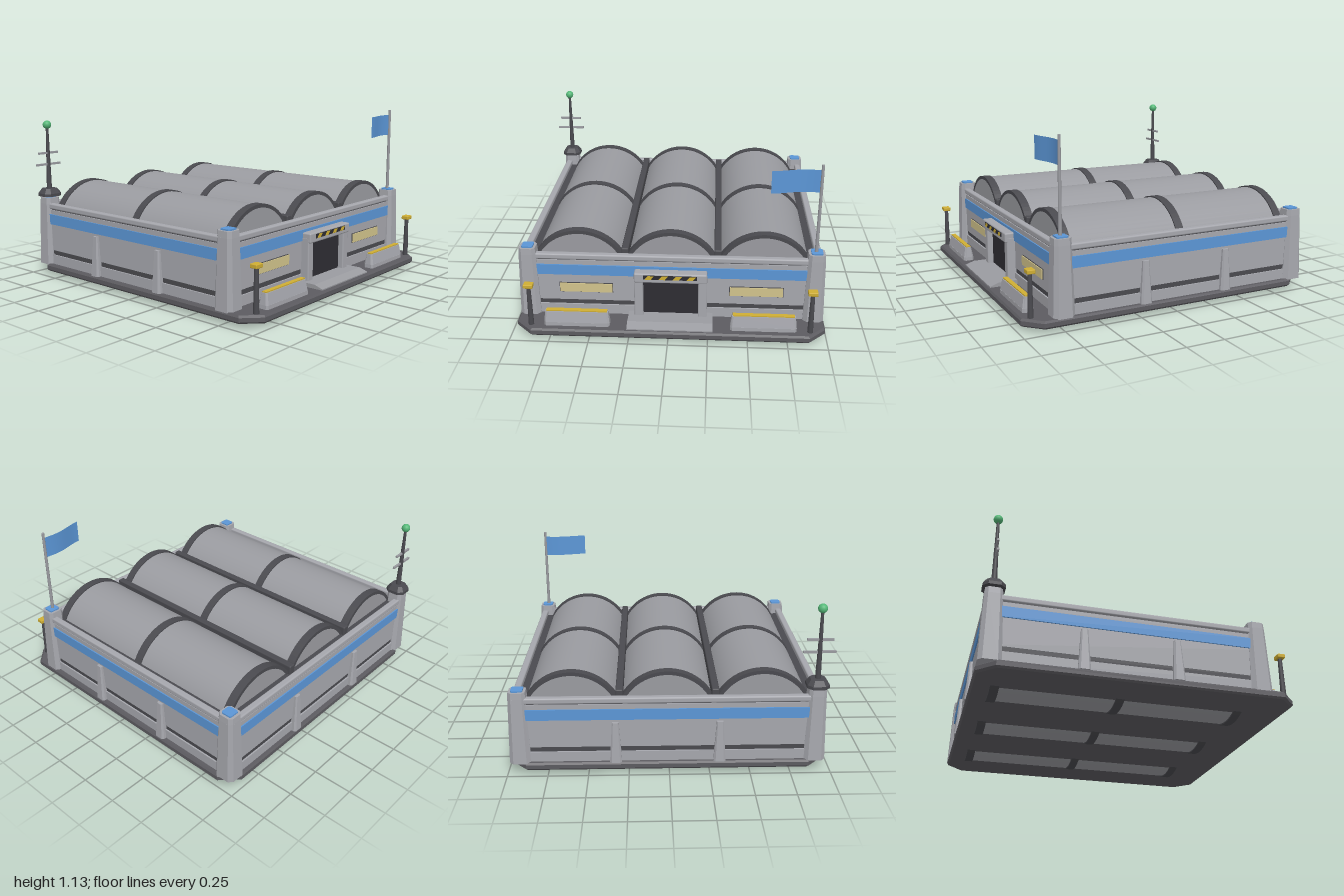
import * as THREE from 'three';
import { RoundedBoxGeometry } from 'three/addons/geometries/RoundedBoxGeometry.js';

const mat = (name, color, side = THREE.FrontSide) => {
  const m = new THREE.MeshStandardMaterial({ color, side });
  m.name = name;
  return m;
};

export function createModel() {
  const M = {
    panel: mat('panel grey', 0xa6a7ad),
    shell: mat('shell grey', 0x9a9ba0),
    base: mat('base grey', 0x5c5b60),
    dark: mat('dark metal', 0x4a4a4f),
    door: mat('door black', 0x2e2d33),
    blue: mat('blue', 0x5b96d6, THREE.DoubleSide),
    yellow: mat('yellow', 0xcfae34),
    window: mat('window cream', 0xd2c48c),
    green: mat('signal green', 0x55b878),
  };
  const model = new THREE.Group();
  model.name = 'hangar';
  const add = (name, geo, material, x = 0, y = 0, z = 0) => {
    const mesh = new THREE.Mesh(geo, material);
    mesh.name = name;
    mesh.position.set(x, y, z);
    model.add(mesh);
    return mesh;
  };
  // box given by its limits
  const box = (name, material, x0, x1, y0, y1, z0, z1, round = 0) => {
    const s = [x1 - x0, y1 - y0, z1 - z0];
    const g = round ? new RoundedBoxGeometry(...s, 2, round) : new THREE.BoxGeometry(...s);
    return add(name, g, material, (x0 + x1) / 2, (y0 + y1) / 2, (z0 + z1) / 2);
  };
  // upright block with cut corners, standing on y = 0, narrowing to the top
  const block = (w, d, h, cut, topX = 1, topZ = 1) => {
    const a = w / 2, b = d / 2;
    const s = new THREE.Shape([
      [a - cut, -b], [a, -b + cut], [a, b - cut], [a - cut, b],
      [-a + cut, b], [-a, b - cut], [-a, -b + cut], [-a + cut, -b],
    ].map(p => new THREE.Vector2(...p)));
    const g = new THREE.ExtrudeGeometry(s, { depth: h, bevelEnabled: false }).rotateX(-Math.PI / 2);
    const p = g.attributes.position;
    for (let i = 0; i < p.count; i++) {
      const t = p.getY(i) / h;
      p.setX(i, p.getX(i) * (1 + (topX - 1) * t));
      p.setZ(i, p.getZ(i) * (1 + (topZ - 1) * t));
    }
    g.computeVertexNormals();
    return g;
  };
  const rod = (name, material, r0, r1, y0, y1, x, z) =>
    add(name, new THREE.CylinderGeometry(r1, r0, y1 - y0, 12), material, x, (y0 + y1) / 2, z);

  const CX = 0.01, CZ = -0.09; // centre of the building

  // foundation slab with softened edges
  add('foundationLower', block(1.94, 1.94, 0.012, 0.105, 1.01, 1.01), M.base, CX, 0.035, 0);
  add('foundation', block(1.96, 1.96, 0.026, 0.105), M.base, CX, 0.047, 0);
  add('foundationUpper', block(1.96, 1.96, 0.012, 0.105, 0.99, 0.99), M.base, CX, 0.073, 0);

  // walls as stacked bands, each [name, material, y0, y1, half width, half depth]
  [
    ['skirt', M.panel, 0.08, 0.15, 0.95, 0.865],
    ['skirtGroove', M.dark, 0.15, 0.182, 0.94, 0.855],
    ['wall', M.panel, 0.182, 0.367, 0.945, 0.86],
    ['blueBand', M.blue, 0.367, 0.437, 0.953, 0.868],
    ['upperWall', M.panel, 0.437, 0.468, 0.945, 0.86],
    ['roofDeck', M.dark, 0.468, 0.474, 0.938, 0.853],
  ].forEach(([n, m, y0, y1, w, d]) => box(n, m, CX - w, CX + w, y0, y1, CZ - d, CZ + d));

  // parapet rails
  for (const s of [-1, 1]) {
    const x = CX + s * 0.93, z = CZ + s * 0.845;
    box('sideParapet', M.panel, x - 0.022, x + 0.022, 0.474, 0.512, CZ - 0.82, CZ + 0.82, 0.01);
    box('endParapet', M.panel, CX - 0.9, CX + 0.9, 0.474, 0.512, z - 0.022, z + 0.022, 0.01);
  }

  // barrel vaults with ribs
  const ribGeo = new THREE.LatheGeometry(
    [[0.296, -0.027], [0.319, -0.027], [0.319, 0.027], [0.296, 0.027]].map(p => new THREE.Vector2(...p)), 64
  ).rotateX(Math.PI / 2);
  const ribFlat = ribGeo.toNonIndexed();
  ribFlat.computeVertexNormals();
  for (const x of [-0.58, 0.01, 0.6]) {
    add('barrelVault', new THREE.CylinderGeometry(0.311, 0.311, 1.56, 64).rotateX(Math.PI / 2), M.shell, x, 0.327, -0.08);
    for (const z of [0.68, -0.085, -0.845]) add('vaultRib', ribFlat, M.dark, x, 0.327, z);
  }
  for (const x of [-0.285, 0.305]) box('valleyBeam', M.dark, x - 0.023, x + 0.023, 0.46, 0.535, -0.89, 0.72, 0.008);

  // corner towers, blue caps on all but the antenna corner
  for (const x of [-0.9, 0.92]) for (const z of [0.74, -0.91]) {
    add('cornerTower', block(0.132, 0.138, 0.43, 0.025, 0.82, 0.8), M.panel, x, 0.08, z);
    add('towerTop', block(0.108, 0.11, 0.04, 0.02, 0.95, 0.95), M.panel, x, 0.51, z);
    add('towerCap', block(0.072, 0.072, 0.009, 0.008), M.blue, x, 0.55, z);
  }

  // wall buttresses on both sides and the back
  const buttress = block(0.075, 0.08, 0.265, 0.012, 0.55, 0.6);
  for (const s of [-1, 1]) for (const z of [0.205, -0.37])
    add('sideButtress', buttress, M.panel, CX + s * 0.94, 0.085, z).rotation.y = Math.PI / 2;
  for (const x of [-0.31, 0.33]) add('backButtress', buttress, M.panel, x, 0.085, CZ - 0.855);

  // entrance
  box('door', M.door, -0.168, 0.185, 0.1, 0.37, 0.76, 0.787);
  for (const s of [-1, 1]) {
    const x = CX + s * 0.203;
    box('doorPost', M.panel, x - 0.028, x + 0.028, 0.08, 0.39, 0.76, 0.825, 0.008);
  }
  box('lintel', M.panel, -0.22, 0.24, 0.355, 0.42, 0.76, 0.838, 0.01);
  box('hazardStrip', M.door, -0.16, 0.178, 0.382, 0.41, 0.835, 0.842);
  for (let i = 0; i < 4; i++) {
    const x = -0.122 + i * 0.088;
    const s = new THREE.Shape([[-0.03, 0], [0.01, 0], [0.03, 0.026], [-0.01, 0.026]].map(p => new THREE.Vector2(...p)));
    add('hazardStripe', new THREE.ShapeGeometry(s), M.yellow, x, 0.383, 0.844);
  }
  const ramp = new THREE.Shape([[0.76, 0.08], [0.96, 0.08], [0.96, 0.092], [0.9, 0.112], [0.76, 0.112]].map(p => new THREE.Vector2(...p)));
  add('entranceRamp', new THREE.ExtrudeGeometry(ramp, { depth: 0.54, bevelEnabled: false }).rotateY(-Math.PI / 2), M.shell, 0.28);

  // windows, barriers and bollards, mirrored about the entrance
  for (const s of [-1, 1]) {
    const wx = CX + s * 0.543;
    box('windowFrame', M.dark, wx - 0.172, wx + 0.172, 0.241, 0.309, 0.765, 0.774);
    box('window', M.window, wx - 0.168, wx + 0.168, 0.245, 0.305, 0.772, 0.78);

    const bx = CX + s * 0.588;
    add('barrierFoot', block(0.415, 0.07, 0.03, 0.012), M.panel, bx, 0.08, 0.9);
    add('barrier', block(0.415, 0.068, 0.07, 0.012, 0.96, 0.62), M.panel, bx, 0.11, 0.9);
    box('barrierStripe', M.yellow, bx - 0.193, bx + 0.193, 0.179, 0.187, 0.885, 0.915);

    const px = CX + s * 0.88;
    rod('bollardPost', M.dark, 0.018, 0.013, 0.08, 0.36, px, 0.92);
    box('bollardLamp', M.yellow, px - 0.03, px + 0.03, 0.352, 0.378, 0.895, 0.945, 0.005);
  }

  // antenna
  const ax = -0.9, az = -0.91;
  add('antennaFoot', block(0.135, 0.135, 0.02, 0.03), M.dark, ax, 0.559, az);
  add('antennaCone', block(0.135, 0.135, 0.032, 0.03, 0.68, 0.68), M.dark, ax, 0.579, az);
  rod('antennaMast', M.dark, 0.018, 0.009, 0.6, 1.04, ax, az);
  add('antennaLight', new THREE.SphereGeometry(0.029, 20, 14), M.green, ax, 1.055, az);
  box('antennaBarLow', M.shell, -1, -0.8, 0.774, 0.788, az - 0.007, az + 0.007);
  box('antennaBarHigh', M.shell, -0.98, -0.82, 0.853, 0.867, az - 0.007, az + 0.007);

  // flag, gently waving
  rod('flagPole', M.shell, 0.011, 0.009, 0.555, 1.135, 0.915, 0.74);
  const flag = new THREE.PlaneGeometry(0.295, 0.145, 16, 1);
  const p = flag.attributes.position;
  for (let i = 0; i < p.count; i++) {
    const t = 0.5 - p.getX(i) / 0.295;
    p.setZ(i, 0.02 * t - 0.012 * Math.sin(t * Math.PI * 1.5));
  }
  flag.computeVertexNormals();
  add('flag', flag, M.blue, 0.76, 1.028, 0.737);

  return model;
}
